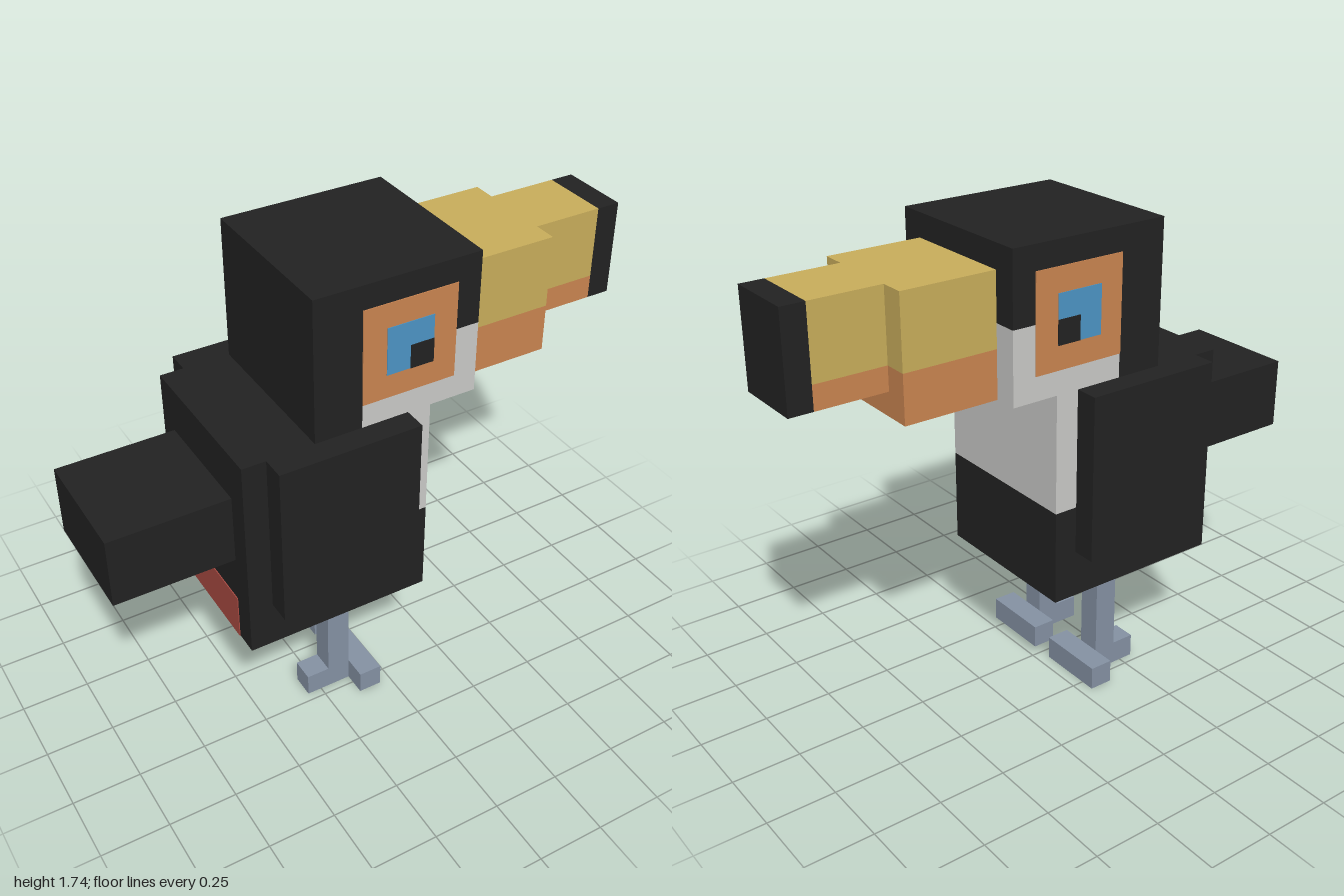
import * as THREE from 'three';

// One voxel: the model is 23 voxels long
const U = 2 / 23;

function mat(name, color) {
  const m = new THREE.MeshStandardMaterial({ color });
  m.name = name;
  return m;
}

export function createModel() {
  const black = mat('black plumage', 0x222222);
  const white = mat('pale bib', 0xc9c9c7);
  const gold = mat('gold beak', 0xc8ad5b);
  const orange = mat('orange skin', 0xc98450);
  const blue = mat('blue eye', 0x4c94c4);
  const grey = mat('grey leg', 0x8491a3);
  const red = mat('red vent', 0xa84a42);

  const model = new THREE.Group();
  model.name = 'bird';

  const group = (name) => {
    const g = new THREE.Group();
    g.name = name;
    model.add(g);
    return g;
  };

  // Box between two corners, in voxels
  const box = (parent, name, material, [x0, x1], [y0, y1], [z0, z1]) => {
    const geo = new THREE.BoxGeometry((x1 - x0) * U, (y1 - y0) * U, (z1 - z0) * U);
    const mesh = new THREE.Mesh(geo, material);
    mesh.name = name;
    mesh.position.set((x0 + x1) / 2 * U, (y0 + y1) / 2 * U, (z0 + z1) / 2 * U);
    parent.add(mesh);
  };
  // z range mirrored to either side
  const side = (s, a, b) => (s > 0 ? [a, b] : [-b, -a]);

  // Body with pale breast
  const body = group('body');
  const wide = [-3.5, 3.5];
  box(body, 'back', black, [-6.5, 0.5], [5, 14], wide);
  box(body, 'belly', black, [0.5, 1.5], [5, 9], wide);
  box(body, 'breast', white, [0.5, 1.5], [9, 14], wide);
  box(body, 'tail', black, [-11.5, -6.5], [9, 12], [-2.5, 2.5]);

  // Red patch under the tail, wrapping onto the underside
  const t = 0.04;
  box(body, 'ventBack', red, [-6.5 - t, -6.5], [5, 7], [-2.5, 2.5]);
  box(body, 'ventUnder', red, [-6.5, -4.5], [5 - t, 5], [-2.5, 2.5]);

  // Head
  const head = group('head');
  box(head, 'nape', black, [-3.5, -1.5], [14, 20], wide);
  box(head, 'crown', black, [-1.5, 2.5], [15, 20], wide);
  box(head, 'forehead', black, [2.5, 3.5], [17, 20], wide);
  box(head, 'cheek', white, [-1.5, 3.5], [14, 15], wide);
  box(head, 'throat', white, [2.5, 3.5], [15, 17], wide);

  // Beak, two steps with a dark tip
  const beak = group('beak');
  box(beak, 'upperBeakBase', gold, [3.5, 7.5], [16, 19], [-2.5, 2.5]);
  box(beak, 'lowerBeakBase', orange, [3.5, 7.5], [14, 16], [-2.5, 2.5]);
  box(beak, 'upperBeakEnd', gold, [7.5, 10.5], [16, 19], [-1.5, 1.5]);
  box(beak, 'lowerBeakEnd', orange, [7.5, 10.5], [15, 16], [-1.5, 1.5]);
  box(beak, 'beakTip', black, [10.5, 11.5], [15, 19], [-1.5, 1.5]);

  for (const s of [1, -1]) {
    const label = s > 0 ? 'front' : 'back';

    // Eye: thin stacked plates
    const eye = group(label + 'SideEye');
    box(eye, 'eyeRing', orange, [-1.5, 2.5], [15, 19], side(s, 3.5, 3.5 + t));
    box(eye, 'iris', blue, [-0.5, 1.5], [16, 18], side(s, 3.5, 3.5 + t * 1.7));
    box(eye, 'pupil', black, [0.5, 1.5], [16, 17], side(s, 3.5, 3.5 + t * 2.4));

    // Wing
    box(model, label + 'SideWing', black, [-5.5, 0.5], [7, 14], side(s, 3.5, 4.5));

    // Leg and T-shaped foot
    const leg = group(label + 'SideLeg');
    box(leg, 'shin', grey, [-2.5, -1.5], [1, 5], side(s, 1.5, 2.5));
    box(leg, 'heel', grey, [-3.5, -1.5], [0, 1], side(s, 1.5, 2.5));
    box(leg, 'toes', grey, [-1.5, -0.5], [0, 1], side(s, 0.5, 3.5));
  }

  return model;
}
